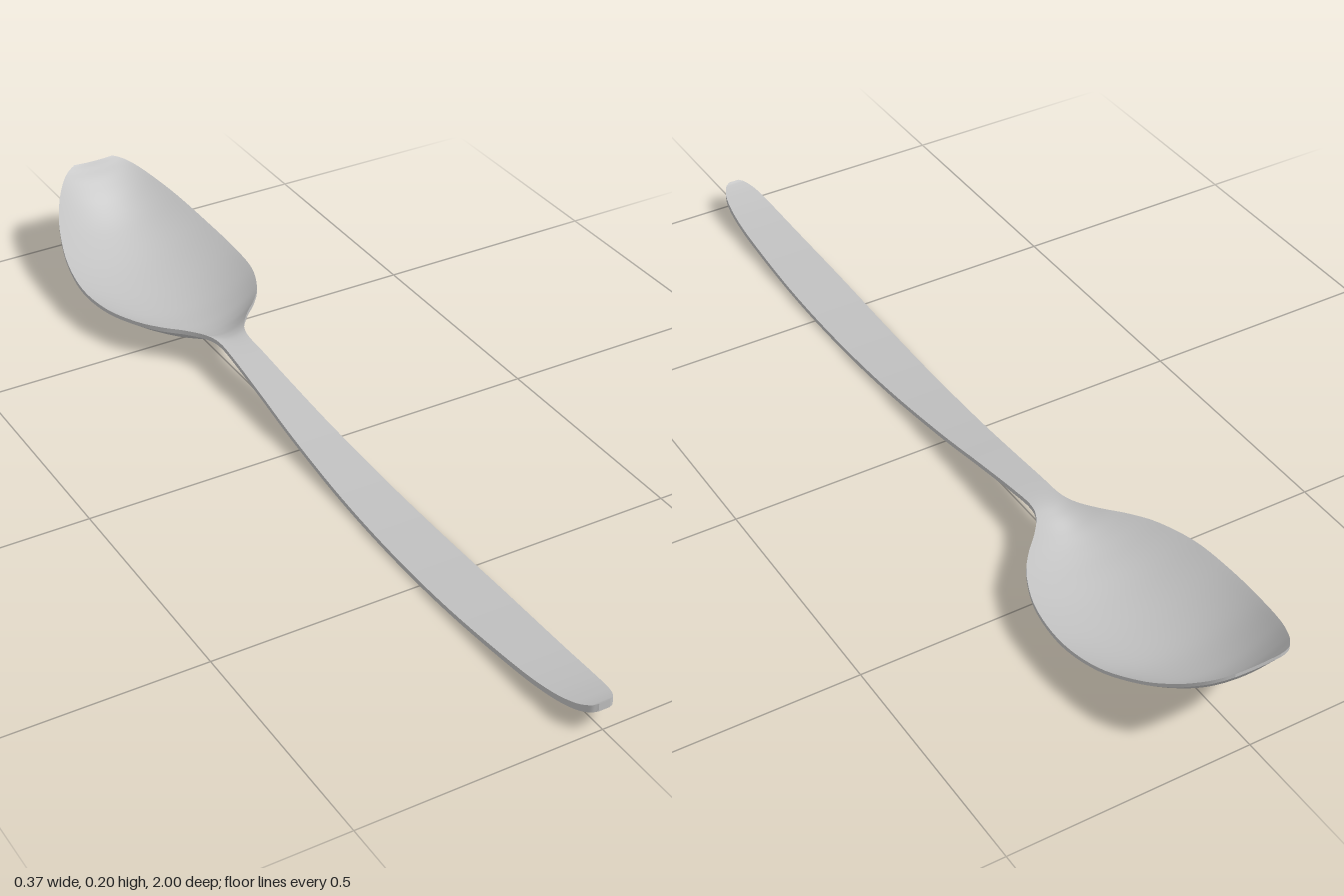
import * as THREE from 'three';

// Stations along the spoon: [z, half width, rim height, bowl depth, thickness]
const stations = [
  [1.0, 0.012, 0.063, 0, 0.017], [0.99, 0.025, 0.058, 0, 0.016],
  [0.96, 0.038, 0.049, 0, 0.014], [0.9, 0.047, 0.037, 0, 0.012],
  [0.8, 0.053, 0.026, 0, 0.011], [0.6, 0.059, 0.0145, 0, 0.01],
  [0.4, 0.058, 0.0105, 0, 0.01], [0.2, 0.053, 0.0165, 0, 0.01],
  [0.0, 0.045, 0.034, 0, 0.01], [-0.15, 0.038, 0.054, 0, 0.01],
  [-0.26, 0.034, 0.069, 0, 0.01], [-0.33, 0.033, 0.076, 0.002, 0.01],
  [-0.37, 0.045, 0.078, 0.013, 0.01], [-0.41, 0.075, 0.078, 0.03, 0.01],
  [-0.45, 0.113, 0.077, 0.043, 0.01], [-0.5, 0.148, 0.076, 0.053, 0.009],
  [-0.58, 0.178, 0.074, 0.06, 0.009], [-0.68, 0.187, 0.075, 0.058, 0.009],
  [-0.78, 0.176, 0.091, 0.057, 0.008], [-0.87, 0.15, 0.122, 0.052, 0.008],
  [-0.93, 0.121, 0.15, 0.04, 0.008], [-0.97, 0.092, 0.174, 0.022, 0.008],
  [-0.99, 0.069, 0.188, 0.009, 0.008], [-1.0, 0.048, 0.196, 0.002, 0.008],
];
const NECK = -0.33, ROWS = (stations.length - 1) * 6, COLS = 28;

export function createModel() {
  const curveOf = (a, b) => new THREE.CatmullRomCurve3(
    stations.map(s => new THREE.Vector3(s[a], s[b], s[0])), false, 'catmullrom', 0.5);
  const outline = curveOf(1, 2), section = curveOf(3, 4);

  // Cross-sections: a dished upper line and a matching lower line
  const upper = [], lower = [];
  for (let r = 0; r <= ROWS; r++) {
    const o = outline.getPoint(r / ROWS), s = section.getPoint(r / ROWS);
    const top = [], bottom = [];
    for (let c = 0; c <= COLS; c++) {
      const u = (c / COLS) * 2 - 1;
      const y = o.y - Math.max(s.x, 0) * (1 - u * u);
      top.push([u * o.x, y, o.z]);
      bottom.push([u * o.x, y - s.y, o.z]);
    }
    upper.push(top);
    lower.push(bottom);
  }

  // Each grid is smooth in itself; separate grids meet at sharp edges
  const positions = [], indices = { handle: [], bowl: [] };
  function addGrid(rows, flip = false) {
    const base = positions.length / 3, n = rows[0].length;
    rows.forEach(row => row.forEach(p => positions.push(...p)));
    for (let r = 0; r < rows.length - 1; r++) {
      const list = rows[r][0][2] > NECK + 1e-6 ? indices.handle : indices.bowl;
      for (let c = 0; c < n - 1; c++) {
        const a = base + r * n + c, b = a + 1, d = a + n, e = d + 1;
        list.push(...(flip ? [a, d, b, b, d, e] : [a, b, d, b, e, d]));
      }
    }
  }
  addGrid(upper);
  addGrid(lower, true);
  addGrid(upper.map((row, i) => [row[COLS], lower[i][COLS]]));
  addGrid(upper.map((row, i) => [lower[i][0], row[0]]));
  addGrid([upper[0], lower[0]], true);
  addGrid([upper[ROWS], lower[ROWS]]);

  // Normals are found over the whole spoon so handle and bowl join smoothly
  const whole = new THREE.BufferGeometry();
  whole.setAttribute('position', new THREE.Float32BufferAttribute(positions, 3));
  whole.setIndex([...indices.handle, ...indices.bowl]);
  whole.computeVertexNormals();

  const steel = new THREE.MeshStandardMaterial({ color: 0xc0c0c0 });
  steel.name = 'steel';
  const spoon = new THREE.Group();
  spoon.name = 'spoon';
  for (const part of ['handle', 'bowl']) {
    const geometry = whole.clone();
    geometry.setIndex(indices[part]);
    const mesh = new THREE.Mesh(geometry, steel);
    mesh.name = part;
    spoon.add(mesh);
  }
  return spoon;
}
